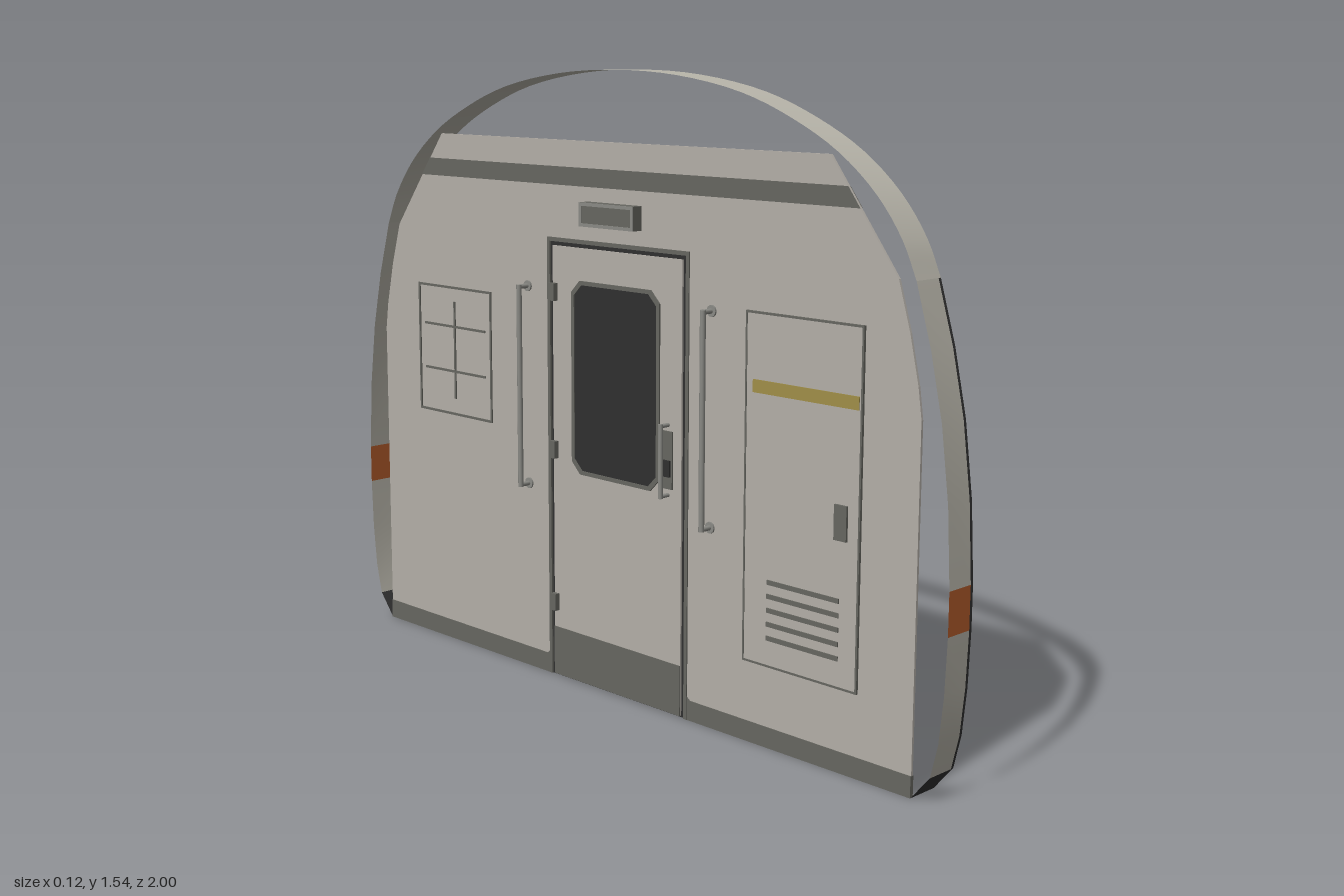
import * as THREE from 'three';

const mat = (name, color, side = THREE.FrontSide) => {
  const m = new THREE.MeshStandardMaterial({ color, side });
  m.name = name;
  return m;
};

export function createModel() {
  const model = new THREE.Group();
  model.name = 'bulkhead';
  const M = {
    wall: mat('warm grey wall', 0xb3aea7),
    rib: mat('pale grey rib', 0xb9b6ab, THREE.DoubleSide),
    trim: mat('dark grey trim', 0x666660),
    black: mat('black rubber', 0x303030, THREE.DoubleSide),
    orange: mat('orange marker', 0xb45c2c, THREE.DoubleSide),
    yellow: mat('dull yellow stripe', 0xa08f48),
    metal: mat('handle metal', 0x8a8a85),
  };

  const add = (name, geo, material) => {
    const mesh = new THREE.Mesh(geo, material);
    mesh.name = name;
    model.add(mesh);
    return mesh;
  };
  // Box given by its limits
  const box = (name, m, x0, x1, y0, y1, z0, z1) => {
    const g = new THREE.BoxGeometry(x1 - x0, y1 - y0, z1 - z0);
    g.translate((x0 + x1) / 2, (y0 + y1) / 2, (z0 + z1) / 2);
    return add(name, g, m);
  };
  const path = (pts, P = THREE.Shape) => new P(pts.map(([z, y]) => new THREE.Vector2(z, y)));
  const rect = (z0, z1, y0, y1) => [[z0, y0], [z1, y0], [z1, y1], [z0, y1]];
  // Plate drawn in (z, y), filling x0..x1
  const plate = (name, m, x0, x1, pts, holes = []) => {
    const shape = path(pts);
    shape.holes = holes.map((h) => path(h, THREE.Path));
    const g = new THREE.ExtrudeGeometry(shape, { depth: x1 - x0, bevelEnabled: false });
    g.rotateY(-Math.PI / 2).translate(x1, 0, 0);
    return add(name, g, m);
  };
  const outline = (name, m, x0, x1, z0, z1, y0, y1, w) =>
    plate(name, m, x0, x1, rect(z0, z1, y0, y1), [rect(z0 + w, z1 - w, y0 + w, y1 - w)]);
  const rod = (name, r, length, x, y, z, alongX) => {
    const g = new THREE.CylinderGeometry(r, r, length, 10);
    if (alongX) g.rotateZ(Math.PI / 2);
    return add(name, g.translate(x, y, z), M.metal);
  };

  // Wall with door and locker openings
  const half = [[0.915, 0], [0.915, 0.83], [0.905, 0.9], [0.88, 1.01], [0.847, 1.12], [0.658, 1.37]];
  const mirror = (pts) => pts.map(([z, y]) => [-z, y]).reverse();
  const doorway = [[-0.24, 0], [-0.24, 1.127], [0.24, 1.127], [0.24, 0]];
  plate('wall', M.wall, -0.024, -0.018, [...half, ...mirror(half), ...doorway],
    [rect(0.43, 0.76, 0.2, 1.01)]);

  // Dark bands on both faces of the wall
  plate('upperBand', M.trim, -0.026, -0.016,
    [[-0.741, 1.26], [0.741, 1.26], [0.707, 1.305], [-0.707, 1.305]]);
  for (const s of [-1, 1]) {
    plate('skirtingBand', M.trim, -0.026, -0.016,
      [[0.915, 0], [0.915, 0.05], [0.255, 0.05], [0.24, 0.062], [0.24, 0]].map(([z, y]) => [s * z, y]));
  }

  // Door and its frame
  plate('doorFrame', M.trim, -0.027, -0.015,
    [[-0.245, 0], [-0.245, 1.13], [0.245, 1.13], [0.245, 0], [0.235, 0], [0.235, 1.12], [-0.235, 1.12], [-0.235, 0]]);
  box('doorBacking', M.black, -0.022, -0.016, 0, 1.12, -0.235, 0.235);
  box('doorLeaf', M.wall, -0.027, -0.022, 0.004, 1.11, -0.224, 0.224);
  box('kickPlate', M.trim, -0.029, -0.027, 0.004, 0.13, -0.224, 0.224);
  const pane = (z, y0, y1, c) => [[-z + c, y0], [z - c, y0], [z, y0 + c], [z, y1 - c], [z - c, y1],
    [-z + c, y1], [-z, y1 - c], [-z, y0 + c]];
  plate('windowFrame', M.trim, -0.031, -0.027, pane(0.153, 0.545, 1.03, 0.03), [pane(0.143, 0.555, 1.02, 0.027)]);
  plate('window', M.black, -0.029, -0.027, pane(0.143, 0.555, 1.02, 0.027));
  for (const y of [0.197, 0.595, 0.995]) box('hinge', M.trim, -0.04, -0.025, y - 0.022, y + 0.022, -0.226, -0.207);

  // Door pull
  box('handlePlate', M.trim, -0.031, -0.027, 0.56, 0.7, 0.165, 0.197);
  box('lock', M.black, -0.036, -0.031, 0.59, 0.63, 0.17, 0.192);
  rod('doorPull', 0.006, 0.18, -0.053, 0.63, 0.181);
  for (const y of [0.545, 0.715]) rod('doorPullBracket', 0.005, 0.026, -0.04, y, 0.181, true);

  // Grab rails beside the door
  for (const z of [-0.32, 0.317]) {
    rod('grabRail', 0.007, 0.52, -0.055, 0.745, z);
    for (const y of [0.49, 1.0]) {
      rod('railBracket', 0.006, 0.03, -0.04, y, z, true);
      rod('railFlange', 0.014, 0.005, -0.026, y, z, true);
    }
  }

  // Lamp box over the door
  box('lampBox', M.trim, -0.053, -0.024, 1.167, 1.225, -0.098, 0.087);
  outline('lampRim', M.metal, -0.055, -0.053, -0.098, 0.087, 1.167, 1.225, 0.008);

  // Locker panel
  box('lockerPanel', M.wall, -0.029, -0.024, 0.2, 1.01, 0.43, 0.76);
  outline('lockerEdge', M.trim, -0.03, -0.024, 0.426, 0.764, 0.196, 1.014, 0.005);
  box('lockerStripe', M.yellow, -0.031, -0.022, 0.83, 0.86, 0.45, 0.755);
  box('lockerLatch', M.trim, -0.035, -0.029, 0.535, 0.615, 0.695, 0.73);
  for (let i = 0; i < 5; i++) {
    const y = 0.26 + i * 0.033;
    box('louvre', M.trim, -0.032, -0.029, y, y + 0.011, 0.5, 0.71);
  }

  // Switch panel with divided covers
  outline('switchPanelEdge', M.trim, -0.027, -0.024, -0.765, -0.465, 0.625, 0.97, 0.006);
  for (const y of [0.74, 0.86]) box('switchPanelSeam', M.trim, -0.027, -0.024, y, y + 0.006, -0.74, -0.49);
  box('switchPanelDivider', M.trim, -0.027, -0.024, 0.67, 0.93, -0.618, -0.612);

  // Rib: a thin sheet swept along x
  const ribbon = (name, m, pts, x0, x1) => {
    const pos = [], idx = [];
    pts.forEach(([z, y], i) => {
      pos.push(x0, y, z, x1, y, z);
      const a = 2 * i;
      if (i) idx.push(a - 2, a - 1, a, a, a - 1, a + 1);
    });
    const g = new THREE.BufferGeometry();
    g.setAttribute('position', new THREE.Float32BufferAttribute(pos, 3));
    g.setIndex(idx);
    g.computeVertexNormals();
    add(name, g, m);
  };
  const foot = [[0.915, 0], [0.965, 0.06]];
  const lower = [[0.965, 0.06], [0.984, 0.14], [0.995, 0.25], [1, 0.38]];
  const marker = [[1, 0.38], [1, 0.48]];
  const upper = [[1, 0.48], [0.99, 0.66], [0.968, 0.83], [0.935, 0.98], [0.893, 1.12]];
  const side = [...foot, ...lower.slice(1), marker[1], ...upper.slice(1)];
  for (const s of [1, -1]) {
    const flip = (pts) => (s > 0 ? pts : mirror(pts));
    ribbon('ribFoot', M.black, flip(foot), -0.025, 0.05);
    ribbon('ribLower', M.rib, flip(lower), -0.025, 0.05);
    ribbon('ribMarker', M.orange, flip(marker), -0.025, 0.05);
    ribbon('ribUpper', M.rib, flip(upper), -0.025, 0.05);
    ribbon('ribSeal', M.black, flip(side), 0.05, 0.058);
  }
  const archHalf = [[0.893, 1.12], [0.855, 1.2], [0.785, 1.29], [0.68, 1.375], [0.55, 1.442], [0.4, 1.495], [0.2, 1.53]];
  const curve = new THREE.CatmullRomCurve3(
    [...archHalf, [0, 1.54], ...mirror(archHalf)].map(([z, y]) => new THREE.Vector3(0, y, z)));
  ribbon('ribArch', M.rib, curve.getPoints(56).map((p) => [p.z, p.y]), -0.025, 0.058);

  return model;
}
